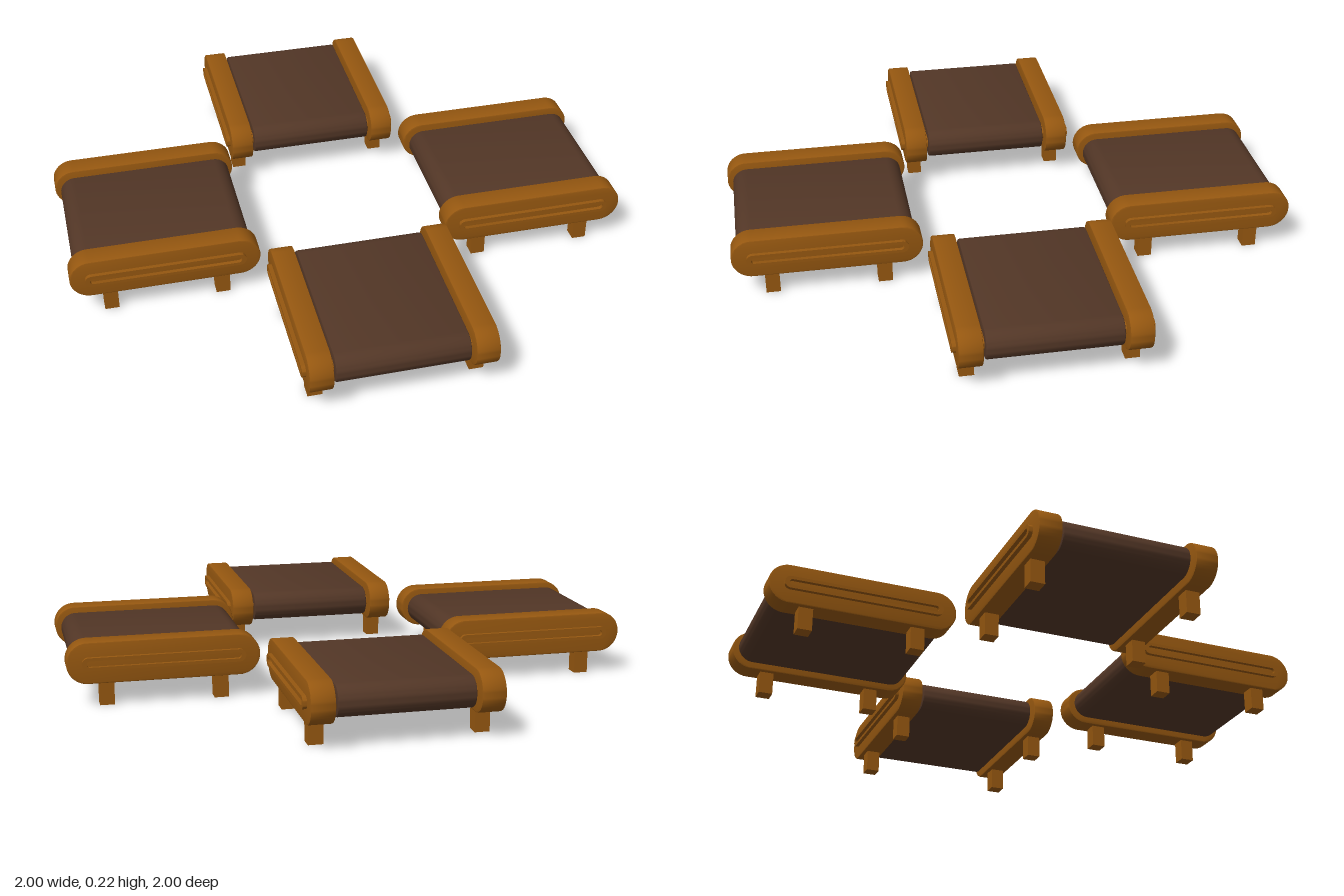
import * as THREE from 'three';
import { toCreasedNormals } from 'three/addons/utils/BufferGeometryUtils.js';

// Stadium outline of given full length and height, centred on the origin
function stadium(length, height, PathType = THREE.Shape) {
  const r = height / 2, h = length / 2 - r;
  const p = new PathType();
  p.moveTo(-h, -r);
  p.lineTo(h, -r);
  p.absarc(h, 0, r, -Math.PI / 2, Math.PI / 2, false);
  p.lineTo(-h, r);
  p.absarc(-h, 0, r, Math.PI / 2, Math.PI * 1.5, false);
  return p;
}

// Extrude a shape along z, centred, with an optional bevel kept inside the depth
function slab(shape, depth, bevel = 0) {
  const g = new THREE.ExtrudeGeometry(shape, {
    depth: depth - 2 * bevel, curveSegments: 12, bevelEnabled: bevel > 0,
    bevelThickness: bevel, bevelSize: bevel, bevelOffset: -bevel, bevelSegments: 2,
  });
  g.translate(0, 0, -depth / 2 + bevel);
  return toCreasedNormals(g, 0.6);
}

export function createModel() {
  const wood = new THREE.MeshStandardMaterial({ color: 0x955710 });
  wood.name = 'wood';
  const leather = new THREE.MeshStandardMaterial({ color: 0x523626 });
  leather.name = 'brown belt';

  const MID = 0.153; // height of the roller axis
  const beltGeo = slab(stadium(0.625, 0.108), 0.45, 0.006);
  const railGeo = slab(stadium(0.664, 0.144), 0.08, 0.004);
  const trimShape = stadium(0.56, 0.044);
  trimShape.holes.push(stadium(0.528, 0.022, THREE.Path));
  const trimGeo = slab(trimShape, 0.108);
  const legGeo = new THREE.BoxGeometry(0.05, 0.1, 0.05);

  function add(parent, name, geo, mat, x, y, z) {
    const m = new THREE.Mesh(geo, mat);
    m.name = name;
    m.position.set(x, y, z);
    parent.add(m);
  }

  // One belt section running along x
  function conveyor() {
    const g = new THREE.Group();
    add(g, 'belt', beltGeo, leather, 0, MID, 0);
    for (const s of [-1, 1]) {
      add(g, 'sideRail', railGeo, wood, 0, MID, s * 0.275);
      add(g, 'railTrim', trimGeo, wood, 0, MID, s * 0.275);
      for (const x of [-0.197, 0.197]) add(g, 'leg', legGeo, wood, x, 0.05, s * 0.275);
    }
    return g;
  }

  // Four sections arranged in a cross
  const model = new THREE.Group();
  model.name = 'conveyorCross';
  ['left', 'back', 'right', 'front'].forEach((side, i) => {
    const arm = new THREE.Group();
    arm.name = side + 'Conveyor';
    const c = conveyor();
    c.name = 'conveyor';
    c.position.x = 0.668;
    arm.add(c);
    arm.rotation.y = i * Math.PI / 2;
    model.add(arm);
  });
  return model;
}
